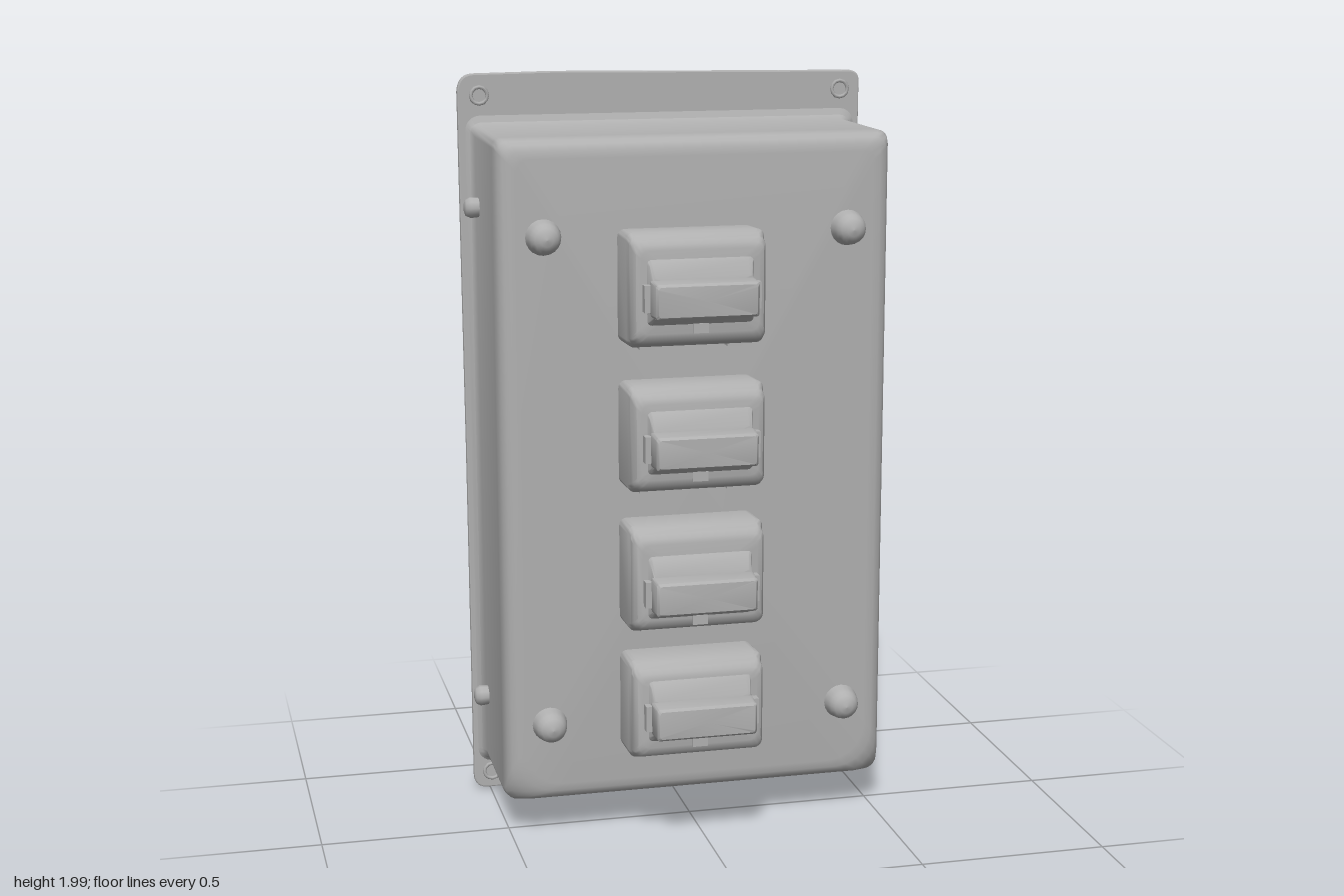
import * as THREE from 'three';
import { toCreasedNormals } from 'three/addons/utils/BufferGeometryUtils.js';

// Rounded rectangle, counterclockwise; bottom and top corners may differ in radius
function roundedLoop(x0, x1, y0, y1, rBottom, rTop = rBottom, n = 5) {
  const corners = [
    [x1 - rBottom, y0 + rBottom, rBottom, -0.5], [x1 - rTop, y1 - rTop, rTop, 0],
    [x0 + rTop, y1 - rTop, rTop, 0.5], [x0 + rBottom, y0 + rBottom, rBottom, 1],
  ];
  const pts = [];
  for (const [cx, cy, r, start] of corners) {
    for (let i = 0; i <= n; i++) {
      const a = (start + (0.5 * i) / n) * Math.PI;
      pts.push([cx + r * Math.cos(a), cy + r * Math.sin(a)]);
    }
  }
  return pts;
}

// Skin through rounded rectangles stacked along z, closed at the front
// layer: [z, x0, x1, y0, y1, rBottom, rTop]
function loft(layers, crease = 0.7) {
  const pos = [], index = [];
  const loops = layers.map(([z, ...rect]) => roundedLoop(...rect).map(([x, y]) => [x, y, z]));
  const n = loops[0].length;
  loops.forEach(loop => loop.forEach(p => pos.push(...p)));
  for (let k = 0; k < loops.length - 1; k++) {
    for (let i = 0; i < n; i++) {
      const j = (i + 1) % n, a = k * n, b = a + n;
      index.push(a + i, a + j, b + j, a + i, b + j, b + i);
    }
  }
  const [z, x0, x1, y0, y1] = layers[layers.length - 1];
  const centre = pos.length / 3, last = (loops.length - 1) * n;
  pos.push((x0 + x1) / 2, (y0 + y1) / 2, z);
  for (let i = 0; i < n; i++) index.push(last + i, last + ((i + 1) % n), centre);
  const g = new THREE.BufferGeometry();
  g.setAttribute('position', new THREE.Float32BufferAttribute(pos, 3));
  g.setIndex(index);
  return toCreasedNormals(g, crease);
}

export function createModel() {
  const model = new THREE.Group();
  model.name = 'switchBox';
  const grey = new THREE.MeshStandardMaterial({ color: 0xb0b0b0 });
  grey.name = 'grey metal';

  const add = (parent, name, geometry, x = 0, y = 0, z = 0) => {
    const mesh = new THREE.Mesh(geometry, grey);
    mesh.name = name;
    mesh.position.set(x, y, z);
    parent.add(mesh);
    return mesh;
  };

  // Mounting plate with a worn notch in its lower edge
  const s = new THREE.Shape();
  s.moveTo(-0.51, 0.012);
  s.lineTo(-0.4, 0.012);
  s.bezierCurveTo(-0.35, 0.02, -0.36, 0.04, -0.28, 0.055);
  s.bezierCurveTo(-0.18, 0.075, -0.12, 0.09, -0.08, 0.078);
  s.bezierCurveTo(-0.01, 0.06, 0.02, 0.008, 0.08, 0.008);
  s.lineTo(0.52, 0.012);
  s.quadraticCurveTo(0.548, 0.012, 0.55, 0.045);
  s.lineTo(0.545, 1);
  s.lineTo(0.55, 1.96);
  s.quadraticCurveTo(0.55, 1.988, 0.52, 1.99);
  s.lineTo(0.3, 1.992);
  s.lineTo(-0.3, 2);
  s.lineTo(-0.51, 1.997);
  s.quadraticCurveTo(-0.55, 1.995, -0.553, 1.95);
  s.lineTo(-0.548, 1);
  s.lineTo(-0.546, 0.05);
  s.quadraticCurveTo(-0.545, 0.014, -0.51, 0.012);
  const plate = new THREE.ExtrudeGeometry(s, {
    depth: 0.01, bevelEnabled: true, bevelThickness: 0.004, bevelSize: 0.004, bevelOffset: -0.004, bevelSegments: 2,
  });
  add(model, 'mountingPlate', plate, 0, 0, -0.318);

  // Enclosure: flared foot at the plate, rounded front rim, dented lower front corners
  add(model, 'enclosure', loft([
    [-0.305, -0.535, 0.535, 0.09, 1.89, 0.04],
    [-0.297, -0.522, 0.524, 0.1, 1.87, 0.03],
    [-0.275, -0.513, 0.515, 0.107, 1.86, 0.025],
    [0.01, -0.515, 0.518, 0.106, 1.86, 0.025],
    [0.045, -0.515, 0.518, 0.107, 1.86, 0.035, 0.025],
    [0.066, -0.51, 0.513, 0.112, 1.855, 0.065, 0.028],
    [0.081, -0.5, 0.503, 0.122, 1.846, 0.085, 0.03],
    [0.089, -0.485, 0.487, 0.137, 1.831, 0.1, 0.03],
    [0.091, -0.465, 0.467, 0.157, 1.811, 0.1, 0.03],
  ]));

  // Dome studs on the front
  const dome = new THREE.LatheGeometry([
    [0.047, 0], [0.044, 0.012], [0.042, 0.025], [0.038, 0.039], [0.03, 0.05], [0.017, 0.058], [0, 0.061],
  ].map(p => new THREE.Vector2(...p)), 20);
  for (const x of [-0.4, 0.4]) {
    for (const y of [0.325, 1.615]) add(model, 'frontStud', dome, x, y, 0.088).rotation.x = Math.PI / 2;
  }

  // Screws on the side walls
  const sideScrew = new THREE.LatheGeometry([
    [0.026, 0], [0.028, 0.022], [0.022, 0.034], [0.01, 0.038], [0, 0.038],
  ].map(p => new THREE.Vector2(...p)), 10);
  for (const side of [-1, 1]) {
    for (const y of [0.31, 1.655]) {
      add(model, 'sideScrew', sideScrew, side * 0.514, y, -0.23).rotation.z = -side * Math.PI / 2;
    }
  }

  // Corner bolts through the plate, with a ring on the front
  const bolt = new THREE.LatheGeometry([
    [0.028, 0], [0.028, 0.011], [0.022, 0.017], [0, 0.018],
  ].map(p => new THREE.Vector2(...p)), 12);
  const ring = new THREE.TorusGeometry(0.022, 0.005, 6, 12);
  for (const x of [-0.495, 0.495]) {
    for (const y of [0.06, 1.94]) {
      add(model, 'cornerBolt', bolt, x, y, -0.32).rotation.x = -Math.PI / 2;
      add(model, 'boltRing', ring, x, y, -0.304);
    }
  }

  // Four rocker switches: bottom and top of housing, bottom and top of lever
  const switches = [
    [1.34, 1.635, 1.432, 1.525], [0.965, 1.245, 1.05, 1.14],
    [0.595, 0.88, 0.67, 0.762], [0.25, 0.52, 0.338, 0.428],
  ];
  for (const [y0, y1, t0, t1] of switches) {
    const unit = new THREE.Group();
    unit.name = 'rockerSwitch';
    model.add(unit);
    // Housing with a stepped front rim
    add(unit, 'housing', loft([
      [0.085, -0.21, 0.147, y0, y1 - 0.005, 0.02],
      [0.195, -0.21, 0.147, y0 + 0.004, y1, 0.02],
      [0.208, -0.205, 0.142, y0 + 0.009, y1 - 0.008, 0.02],
      [0.214, -0.206, 0.143, y0 + 0.011, y1 - 0.014, 0.02],
      [0.235, -0.203, 0.14, y0 + 0.018, y1 - 0.016, 0.022],
      [0.247, -0.196, 0.133, y0 + 0.03, y1 - 0.026, 0.022],
      [0.251, -0.183, 0.12, y0 + 0.045, y1 - 0.04, 0.02],
    ]));
    // Sloped shoulder around the lever
    add(unit, 'shoulder', loft([
      [0.245, -0.172, 0.108, t0 - 0.028, t1 + 0.055, 0.012],
      [0.258, -0.165, 0.102, t0 - 0.02, t1 + 0.04, 0.012],
      [0.28, -0.16, 0.098, t0 - 0.004, t1 + 0.006, 0.01],
    ]));
    // Lever
    add(unit, 'lever', loft([
      [0.25, -0.162, 0.098, t0, t1, 0.008],
      [0.278, -0.166, 0.102, t0, t1, 0.008],
      [0.328, -0.164, 0.1, t0 + 0.002, t1 - 0.003, 0.008],
      [0.335, -0.158, 0.094, t0 + 0.008, t1 - 0.009, 0.008],
    ]));
    // Pivot ends, side latch, lower pin and feet
    const mid = (t0 + t1) / 2;
    for (const x of [-0.171, 0.109]) {
      add(unit, 'pivotEnd', new THREE.BoxGeometry(0.02, 0.068, 0.04), x, mid, 0.258);
    }
    add(unit, 'sideLatch', new THREE.BoxGeometry(0.016, 0.018, 0.02), 0.151, y1 - 0.05, 0.13);
    add(unit, 'lowerPin', new THREE.BoxGeometry(0.04, 0.025, 0.016), -0.032, t0 - 0.035, 0.248);
    for (const x of [-0.15, 0.08]) {
      add(unit, 'foot', new THREE.BoxGeometry(0.04, 0.014, 0.03), x, y0 - 0.002, 0.15);
    }
  }
  return model;
}
